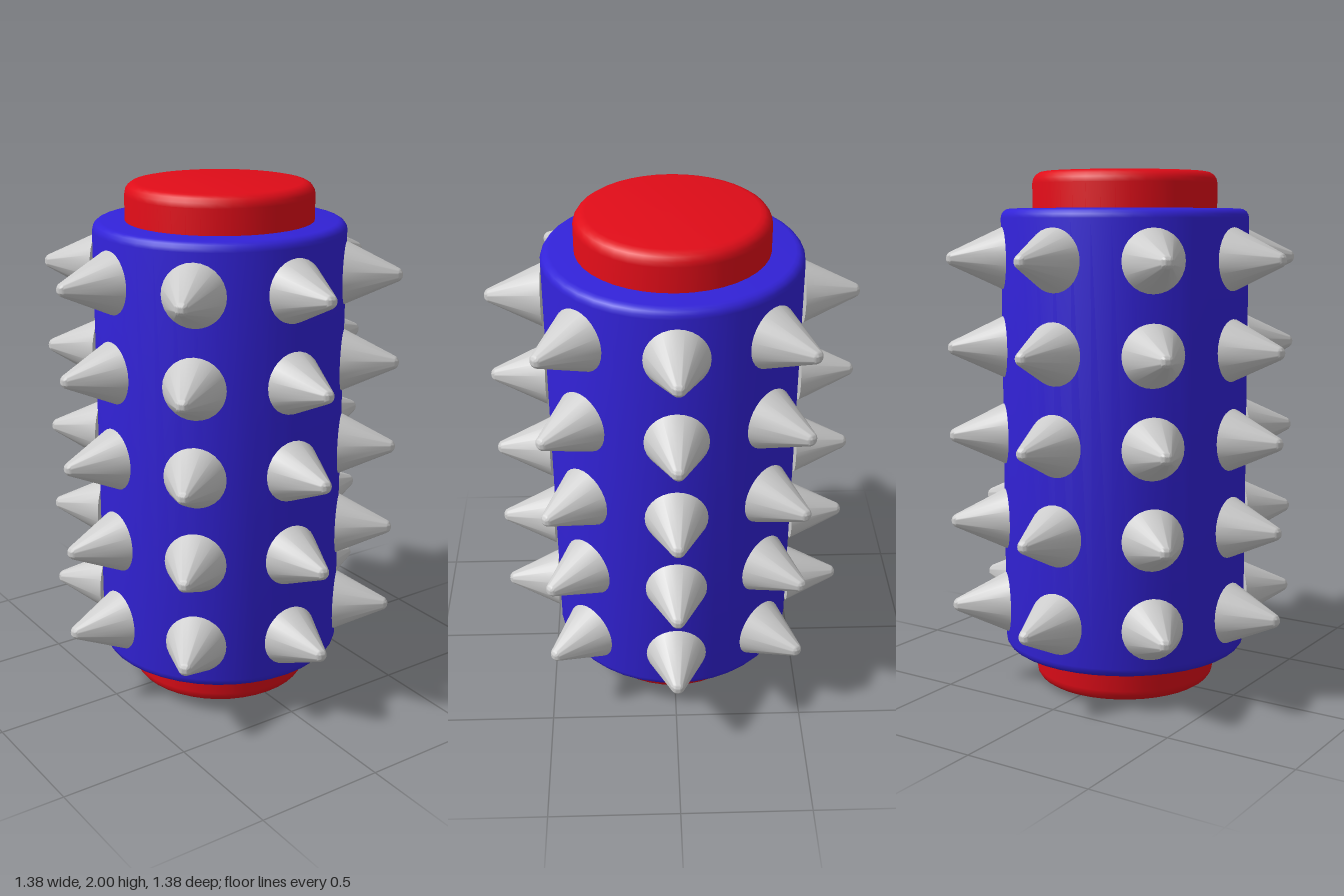
import * as THREE from 'three';
import { toCreasedNormals } from 'three/addons/utils/BufferGeometryUtils.js';

// Upright drum with rounded rims, from y0 to y1
function drum(name, radius, y0, y1, bevel, color) {
  const pts = [new THREE.Vector2(0, y0)];
  const steps = 4;
  for (const top of [false, true]) {
    for (let i = 0; i <= steps; i++) {
      const a = (i / steps) * Math.PI / 2;
      const s = top ? Math.cos(a) : Math.sin(a);
      const c = top ? Math.sin(a) : Math.cos(a);
      pts.push(new THREE.Vector2(
        radius - bevel + bevel * s,
        top ? y1 - bevel + bevel * c : y0 + bevel - bevel * c));
    }
  }
  pts.push(new THREE.Vector2(0, y1));
  const geometry = toCreasedNormals(new THREE.LatheGeometry(pts, 40), 0.6);
  const mesh = new THREE.Mesh(geometry, new THREE.MeshStandardMaterial({ color }));
  mesh.name = name;
  return mesh;
}

// Blunt cone along +y with a closed base at y = 0
function spikeGeometry() {
  const height = 0.212, base = 0.117, tip = 0.028;
  const slope = Math.atan2(base - tip, height);
  const pts = [new THREE.Vector2(0, 0), new THREE.Vector2(base, 0)];
  for (let i = 0; i <= 5; i++) {
    const a = slope + (i / 5) * (Math.PI / 2 - slope);
    pts.push(new THREE.Vector2(tip * Math.cos(a), height - tip + tip * Math.sin(a)));
  }
  return toCreasedNormals(new THREE.LatheGeometry(pts, 28), 0.7);
}

export function createModel() {
  const model = new THREE.Group();
  model.name = 'spikedRoller';

  // Inner core showing at both ends, and the outer sleeve
  model.add(drum('core', 0.355, 0, 2, 0.045, 0xe00c18));
  model.add(drum('sleeve', 0.477, 0.14, 1.86, 0.035, 0x3222d8));

  // Five rings of eight spikes
  const geometry = spikeGeometry();
  const material = new THREE.MeshStandardMaterial({ color: 0xcccccc });
  for (let row = 0; row < 5; row++) {
    const ring = new THREE.Group();
    ring.name = 'spikeRing';
    ring.position.y = 1 + (row - 2) * 0.337;
    for (let k = 0; k < 8; k++) {
      const a = (k * Math.PI) / 4;
      const spike = new THREE.Mesh(geometry, material);
      spike.name = 'spike';
      spike.rotation.set(Math.PI / 2, a, 0, 'YXZ');
      spike.position.set(Math.sin(a) * 0.477, 0, Math.cos(a) * 0.477);
      ring.add(spike);
    }
    model.add(ring);
  }
  return model;
}
